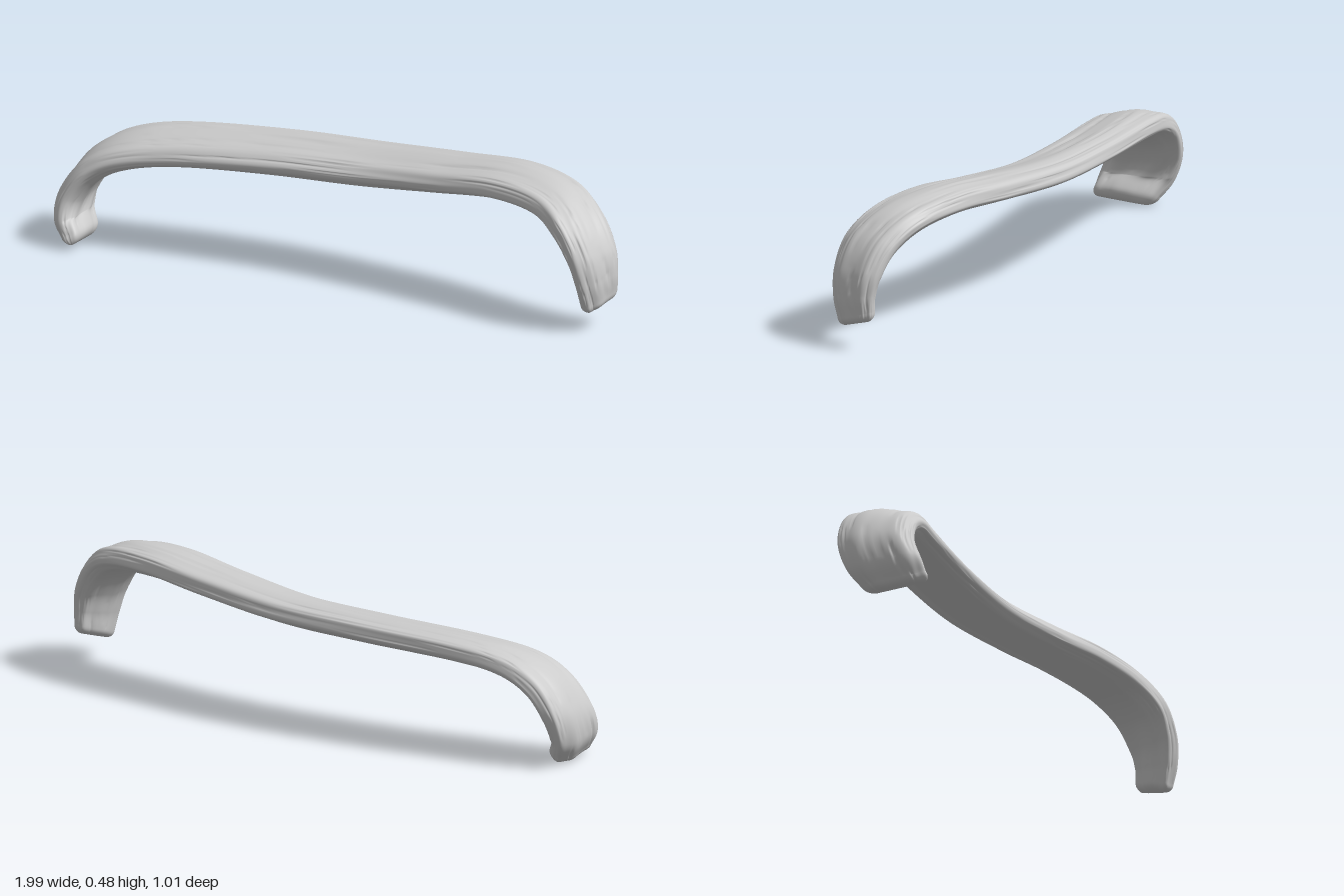
import * as THREE from 'three';

// centre x, y, z | width direction x, y (z = 1 before normalising) | half width, half thickness
const STATIONS = [
  [-0.86, 0.045, 0.385, 0.6, 0.1, 0.115, 0.042],
  [-0.9, 0.1, 0.375, 0.6, 0.02, 0.13, 0.043],
  [-0.905, 0.18, 0.345, 0.58, -0.08, 0.135, 0.046],
  [-0.855, 0.27, 0.3, 0.56, -0.15, 0.135, 0.047],
  [-0.76, 0.33, 0.235, 0.54, -0.18, 0.135, 0.046],
  [-0.6, 0.36, 0.125, 0.54, -0.2, 0.132, 0.045],
  [-0.3, 0.375, -0.05, 0.5, -0.2, 0.13, 0.045],
  [0, 0.385, -0.19, 0.4, -0.18, 0.127, 0.045],
  [0.3, 0.412, -0.29, 0.3, -0.14, 0.124, 0.045],
  [0.55, 0.435, -0.36, 0.22, -0.1, 0.122, 0.046],
  [0.75, 0.415, -0.395, 0.16, -0.06, 0.115, 0.046],
  [0.87, 0.35, -0.398, 0.12, -0.04, 0.11, 0.045],
  [0.935, 0.26, -0.405, 0.1, -0.06, 0.1, 0.042],
  [0.955, 0.18, -0.41, 0.1, -0.15, 0.088, 0.037],
  [0.955, 0.115, -0.42, 0.12, -0.3, 0.078, 0.031],
];
const RADIAL = 112, LENGTH = 210, CAP = 8;

const track = (a, b, c) => new THREE.CatmullRomCurve3(
  STATIONS.map(s => new THREE.Vector3(s[a], s[b], c === null ? 0 : s[c])), false, 'catmullrom', 0.5);

// Long wandering wood grain: sharp narrow grooves over soft ridges
function grain(theta, u) {
  const wander = 0.35 * Math.sin(u * 9) + 0.2 * Math.sin(u * 23 + theta);
  const soft = 0.0025 * Math.sin(theta * 7 + wander * 3 + u * 5);
  const groove = (n, shift, beat) => {
    const line = Math.pow(1 - Math.abs(Math.sin(theta * n / 2 + wander * 2 + shift)), 4);
    return line * Math.max(0, Math.sin(u * beat + shift * 4 + Math.sin(theta * 3) * 3));
  };
  const deep = groove(14, 0.4, 24) + groove(22, 1.7, 37);
  const upper = 0.55 + 0.45 * Math.sin(theta);
  return soft - 0.006 * deep * (0.3 + 0.7 * upper);
}

function branchGeometry() {
  const centre = track(0, 1, 2), lean = track(3, 4, null), size = track(5, 6, null);

  // Rings along the branch, with rounded-off rings closing each end
  const rings = [];
  for (let k = CAP; k > 0; k--) rings.push({ u: 0, cap: -k / CAP });
  for (let i = 0; i <= LENGTH; i++) rings.push({ u: i / LENGTH, cap: 0 });
  for (let k = 1; k <= CAP; k++) rings.push({ u: 1, cap: k / CAP });

  const pos = [], index = [];
  rings.forEach(({ u, cap }, i) => {
    const c = centre.getPoint(u), t = centre.getTangent(u);
    const l = lean.getPoint(u), s = size.getPoint(u);
    const across = new THREE.Vector3(l.x, l.y, 1).normalize();
    const out = across.clone().cross(t).normalize();
    const a = cap * Math.PI / 2, round = Math.cos(a);
    c.addScaledVector(t, Math.sin(a) * s.y * 0.9);
    const halfW = s.x - s.y * 0.8 * (1 - round), halfT = s.y * round;
    for (let j = 0; j < RADIAL; j++) {
      const th = j / RADIAL * Math.PI * 2;
      const cs = Math.cos(th), sn = Math.sin(th);
      // Rounded strap section, with a flatter underside
      const px = Math.sign(cs) * Math.pow(Math.abs(cs), 0.75);
      const py = Math.sign(sn) * Math.pow(Math.abs(sn), sn < 0 ? 0.7 : 0.85);
      const d = grain(th, u) * round;
      const p = c.clone()
        .addScaledVector(across, px * halfW + cs * d)
        .addScaledVector(out, py * halfT + sn * d);
      pos.push(p.x, p.y, p.z);
      if (i < rings.length - 1) {
        const p0 = i * RADIAL + j, p1 = i * RADIAL + (j + 1) % RADIAL;
        index.push(p0, p0 + RADIAL, p1, p1, p0 + RADIAL, p1 + RADIAL);
      }
    }
  });

  const geo = new THREE.BufferGeometry();
  geo.setAttribute('position', new THREE.Float32BufferAttribute(pos, 3));
  geo.setIndex(index);
  geo.computeVertexNormals();
  return geo;
}

export function createModel() {
  const group = new THREE.Group();
  group.name = 'bentBranch';
  const branch = new THREE.Mesh(branchGeometry(), new THREE.MeshStandardMaterial({ color: 0xcccccc }));
  branch.name = 'branch';
  group.add(branch);
  return group;
}
